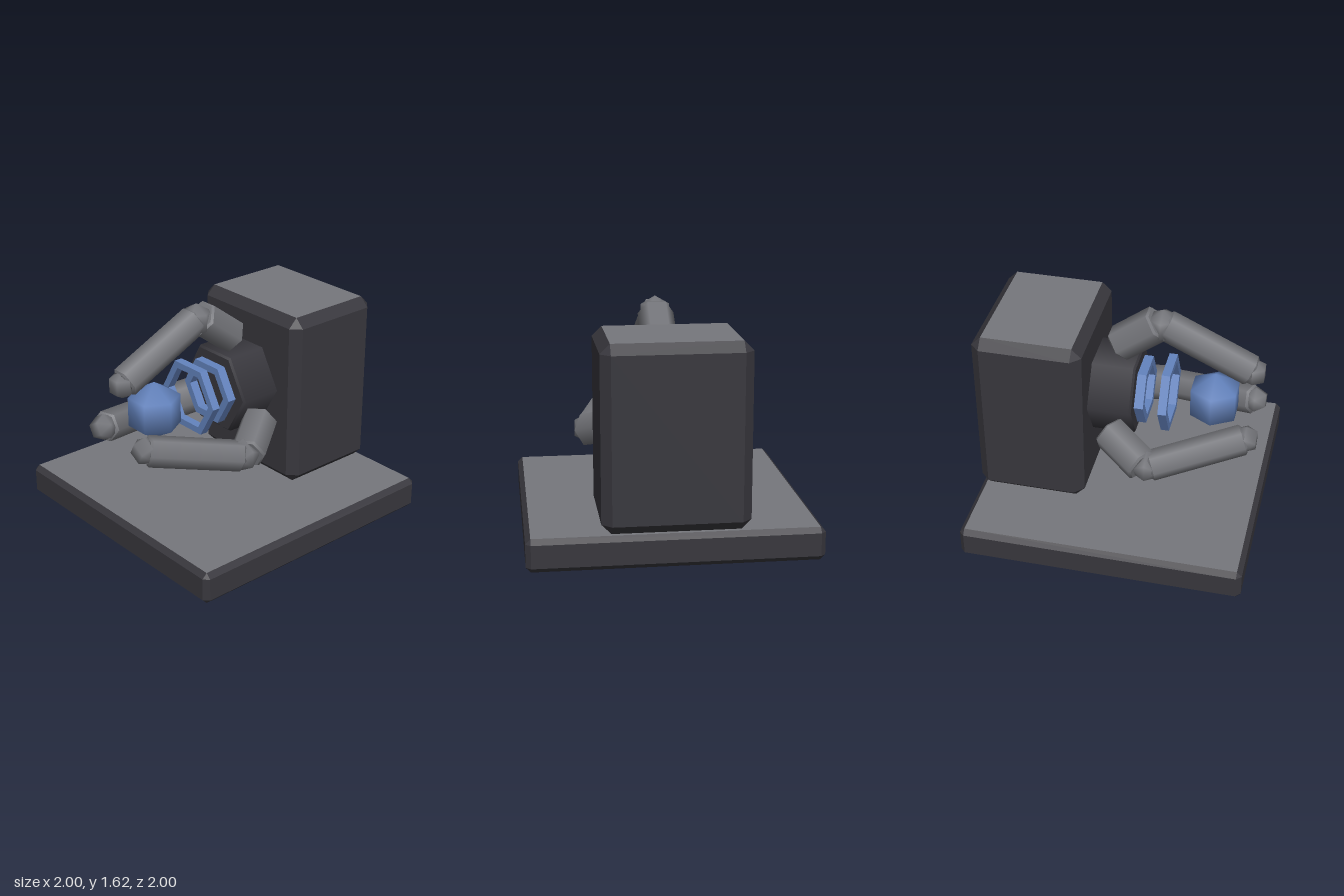
import * as THREE from 'three';
import { mergeGeometries } from 'three/addons/utils/BufferGeometryUtils.js';
import { ConvexGeometry } from 'three/addons/geometries/ConvexGeometry.js';

const material = (name, color) => Object.assign(new THREE.MeshStandardMaterial({ color }), { name });

// Box with every edge chamfered; top and bottom faces use material 1, the rest material 0
function chamferBox(w, h, d, c) {
  const points = [];
  const half = [w / 2, h / 2, d / 2];
  for (const sx of [-1, 1]) for (const sy of [-1, 1]) for (const sz of [-1, 1]) {
    for (let axis = 0; axis < 3; axis++) {
      const p = [sx, sy, sz].map((s, i) => s * (half[i] - (i === axis ? 0 : c)));
      points.push(new THREE.Vector3(...p));
    }
  }
  const geo = new ConvexGeometry(points);
  const normal = geo.attributes.normal;
  for (let i = 0; i < normal.count; i += 3) {
    geo.addGroup(i, 3, Math.abs(normal.getY(i)) > 0.99 ? 1 : 0);
  }
  return geo;
}

// Six-sided bar with bevelled ends, running between two [y, z] points in the plane x = 0
function hexBar(r, from, to, bevel) {
  const dy = to[0] - from[0], dz = to[1] - from[1];
  const length = Math.hypot(dy, dz);
  const end = length / 2 - bevel / 2;
  const geo = mergeGeometries([
    new THREE.CylinderGeometry(r, r, length - 2 * bevel, 6, 1, true),
    new THREE.CylinderGeometry(r - bevel, r, bevel, 6).translate(0, end, 0),
    new THREE.CylinderGeometry(r, r - bevel, bevel, 6).translate(0, -end, 0),
  ]);
  geo.rotateY(Math.PI / 2);
  geo.rotateX(Math.atan2(dz, dy));
  return geo.translate(0, (from[0] + to[0]) / 2, (from[1] + to[1]) / 2);
}

// Hexagonal ring around the z axis
function hexRing(outer, inner, depth) {
  const hexagon = (r) => Array.from({ length: 6 }, (_, i) =>
    new THREE.Vector2(r * Math.cos(i * Math.PI / 3), r * Math.sin(i * Math.PI / 3)));
  const shape = new THREE.Shape(hexagon(outer));
  shape.holes.push(new THREE.Path(hexagon(inner)));
  return new THREE.ExtrudeGeometry(shape, { depth, bevelEnabled: false });
}

export function createModel() {
  const model = new THREE.Group();
  model.name = 'clawMachine';
  const dark = material('darkCasing', 0x38373d);
  const grey = material('greyMetal', 0x76777c);
  const blue = material('blueEnergy', 0x6484bf);

  function add(parent, name, geo, mat, x = 0, y = 0, z = 0) {
    const mesh = new THREE.Mesh(geo, mat);
    mesh.name = name;
    mesh.position.set(x, y, z);
    parent.add(mesh);
    return mesh;
  }

  // Base slab and housing
  add(model, 'base', chamferBox(2, 0.23, 2, 0.035), [dark, grey], 0, 0.115, 0);
  add(model, 'housing', chamferBox(1, 1.27, 0.77, 0.067), [dark, grey], 0, 0.865, -0.615);

  // Emitter: everything here shares one axis along z
  const emitter = new THREE.Group();
  emitter.name = 'emitter';
  emitter.position.y = 0.93;
  model.add(emitter);
  add(emitter, 'collar', hexBar(0.325, [0, -0.25], [0, 0.08], 0.015), dark);
  add(emitter, 'rearRing', hexRing(0.24, 0.18, 0.065), blue, 0, 0, 0.085);
  add(emitter, 'frontRing', hexRing(0.275, 0.22, 0.06), blue, 0, 0, 0.26);
  add(emitter, 'core', new THREE.SphereGeometry(0.21, 6, 3), blue, 0, 0, 0.615);

  // Three jointed fingers spaced around the axis
  for (let i = 0; i < 3; i++) {
    const finger = new THREE.Group();
    finger.name = 'finger' + (i + 1);
    finger.rotation.z = i * Math.PI * 2 / 3;
    emitter.add(finger);
    add(finger, 'lowerSegment', hexBar(0.13, [0.36, -0.08], [0.575, 0.205], 0.015), grey);
    add(finger, 'knuckle', new THREE.SphereGeometry(0.12, 6, 3), grey, 0, 0.565, 0.235);
    add(finger, 'upperSegment', hexBar(0.11, [0.57, 0.25], [0.275, 0.87], 0.015), grey);
    add(finger, 'fingertip', new THREE.SphereGeometry(0.1, 6, 3), grey, 0, 0.27, 0.88);
  }
  return model;
}
